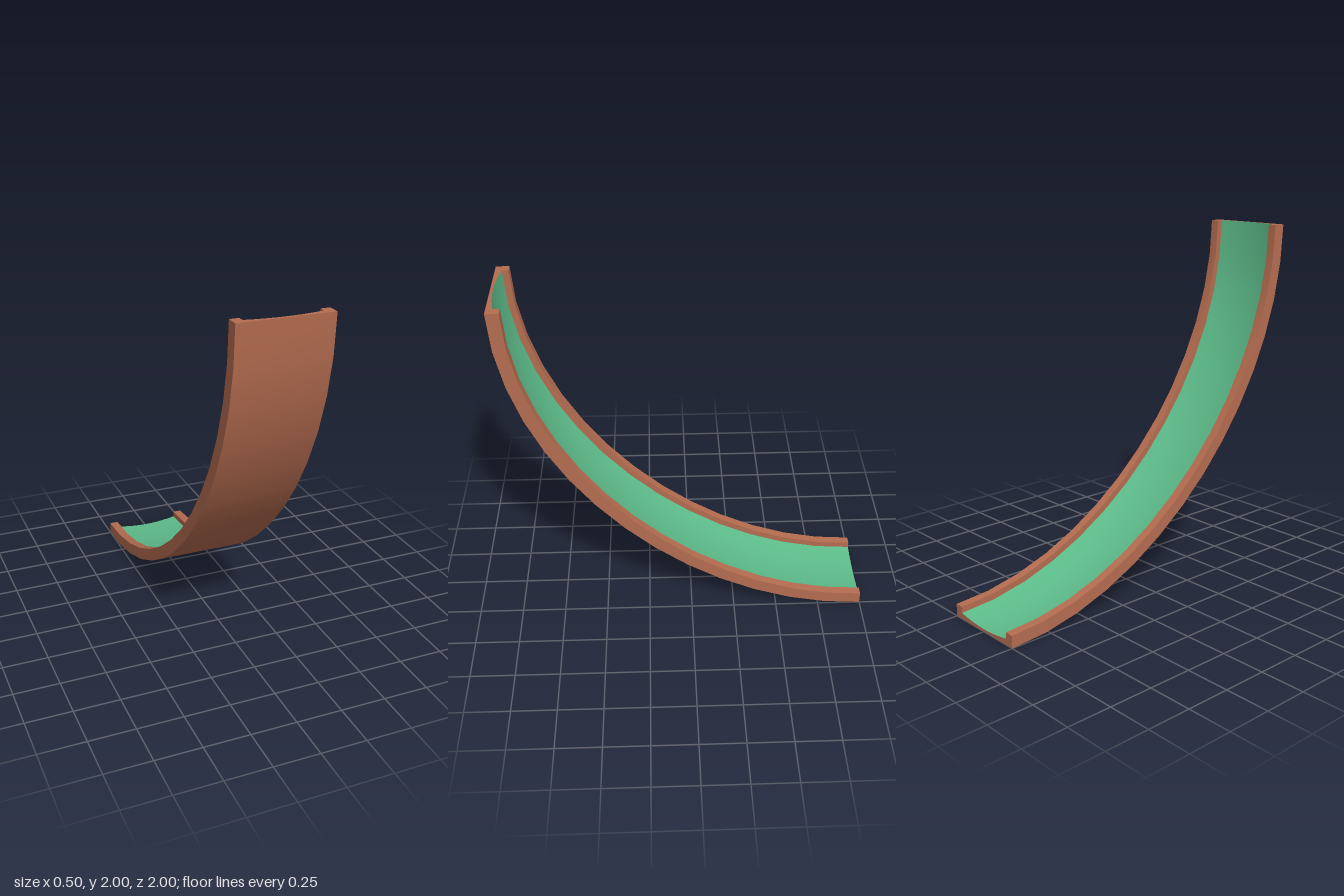
import * as THREE from 'three';

const SEGMENTS = 14;
const HALF = 0.25, INNER = 0.2, RIM = 0.07, FLOOR = 0.035, SAG = 0.02;

// Quarter-pipe path, from the upright front end down to the flat back end
const path = new THREE.CubicBezierCurve3(
  new THREE.Vector3(0, 2, 1), new THREE.Vector3(0, 1, 1),
  new THREE.Vector3(0, 0, 0), new THREE.Vector3(0, 0, -1));

// Frame at t: x across the track, y towards the riding side, z back along the path
function frameAt(t, flip = 1) {
  const tangent = path.getTangent(t);
  const across = new THREE.Vector3(1, 0, 0);
  const inward = new THREE.Vector3().crossVectors(across, tangent).negate();
  if (inward.y < 0) inward.negate();
  if (t === 0) inward.set(0, 0, -1);
  return new THREE.Matrix4()
    .makeBasis(across.multiplyScalar(flip), inward, tangent.multiplyScalar(-flip))
    .setPosition(path.getPoint(t));
}

// Sweep an open line of [x, height] points along the path
function sweep(profile) {
  const positions = [], index = [], n = profile.length;
  for (let i = 0; i <= SEGMENTS; i++) {
    const frame = frameAt(i / SEGMENTS);
    for (const [x, h] of profile) {
      positions.push(...new THREE.Vector3(x, h, 0).applyMatrix4(frame).toArray());
    }
  }
  for (let i = 0; i < SEGMENTS; i++) {
    for (let j = 0; j < n - 1; j++) {
      const a = i * n + j, b = a + n;
      index.push(a, b, a + 1, a + 1, b, b + 1);
    }
  }
  const geometry = new THREE.BufferGeometry();
  geometry.setAttribute('position', new THREE.Float32BufferAttribute(positions, 3));
  geometry.setIndex(index);
  geometry.computeVertexNormals();
  return geometry;
}

export function createModel() {
  const model = new THREE.Group();
  model.name = 'curvedTrack';
  const brown = new THREE.MeshStandardMaterial({ name: 'brown', color: 0xb66d50 });
  const green = new THREE.MeshStandardMaterial({ name: 'green', color: 0x5ebd8b });

  const add = (name, geometry, material) => {
    const mesh = new THREE.Mesh(geometry, material);
    mesh.name = name;
    model.add(mesh);
  };

  // Slightly dished riding surface
  const floor = [];
  for (let i = 0; i <= 10; i++) {
    const u = 1 - i / 5;
    floor.push([u * INNER, FLOOR - SAG * (1 - u * u)]);
  }
  add('trackSurface', sweep(floor), green);

  // Underside and the faces of both rails
  add('underside', sweep([[-HALF, 0], [HALF, 0]]), brown);
  for (const [side, s] of [['left', 1], ['right', -1]]) {
    const faces = {
      RailOuter: [[HALF, 0], [HALF, RIM]],
      RailTop: [[HALF, RIM], [INNER, RIM]],
      RailInner: [[INNER, RIM], [INNER, FLOOR]],
    };
    for (const [name, line] of Object.entries(faces)) {
      const points = line.map(([x, h]) => [x * s, h]);
      add(side + name, sweep(s > 0 ? points : points.reverse()), brown);
    }
  }

  // End caps in the shape of the cross-section
  const outline = [[-HALF, 0], [HALF, 0], [HALF, RIM], [INNER, RIM],
    ...floor, [-INNER, RIM], [-HALF, RIM]];
  const section = new THREE.Shape(outline.map(([x, h]) => new THREE.Vector2(x, h)));
  add('upperEnd', new THREE.ShapeGeometry(section).applyMatrix4(frameAt(0)), brown);
  add('lowerEnd', new THREE.ShapeGeometry(section).applyMatrix4(frameAt(1, -1)), brown);

  return model;
}
